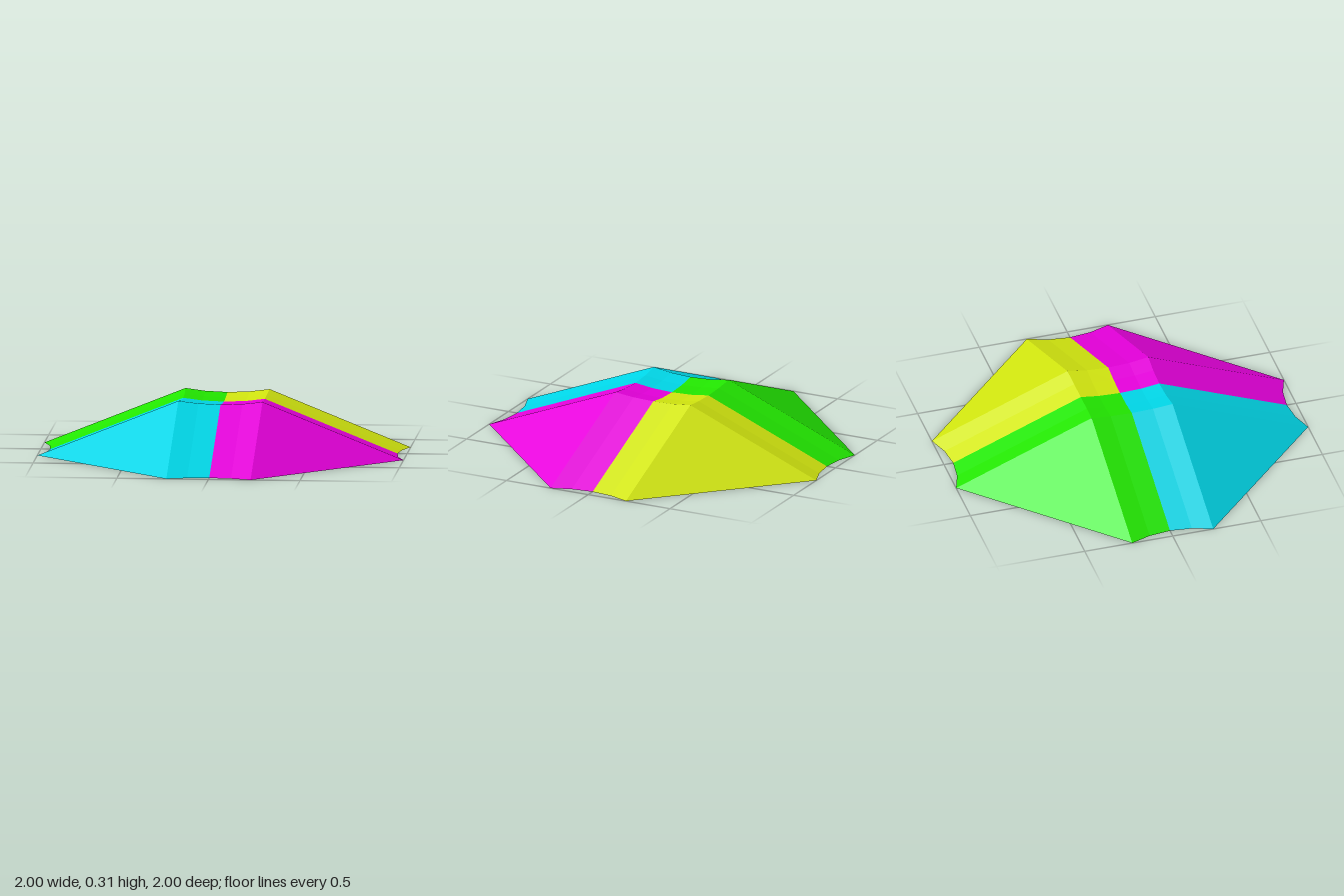
import * as THREE from 'three';

const EDGE = 0.23;                          // half width of the grooves
const TOP = 0.31;                           // height of the four peaks
const SLOPE = TOP / (1 - EDGE);
const STEPS = [0, 0.12, EDGE];              // stations across half a groove
const DEPTH = [0.018, 0.0132, 0];           // groove depth at each station

const material = (name, color) => {
  const m = new THREE.MeshStandardMaterial({ color });
  m.name = name;
  return m;
};

// Grid point of one quadrant: 0-2 cross the central dish, 3 is the rim on the ground
function gridPoint(i, j) {
  if (i === 3) {
    const p = gridPoint(j, i);
    return [p[2], p[1], p[0]];
  }
  if (j === 3) return [STEPS[i], 0, 1 - DEPTH[i] * (SLOPE + 1 / SLOPE)];
  const x = STEPS[i] - (i === 2 ? SLOPE * DEPTH[j] : 0);
  const z = STEPS[j] - (j === 2 ? SLOPE * DEPTH[i] : 0);
  return [x, TOP - DEPTH[i] - DEPTH[j], z];
}

// One quarter of the roof: dish, two half grooves and a big sloping triangle
function quadrant(sx, sz) {
  const positions = [];
  const triangle = (...corners) => {
    if (sx * sz < 0) corners.reverse();     // keep faces outward when mirrored
    for (const [x, y, z] of corners) positions.push(x * sx, y, z * sz);
  };
  for (let i = 0; i < 3; i++) {
    for (let j = 0; j < 3; j++) {
      const a = gridPoint(i, j);
      const b = gridPoint(i, j + 1);
      const d = gridPoint(i + 1, j);
      if (i === 2 && j === 2) {
        triangle(a, b, d);
      } else {
        const c = gridPoint(i + 1, j + 1);
        triangle(a, b, c);
        triangle(a, c, d);
      }
    }
  }
  const geometry = new THREE.BufferGeometry();
  geometry.setAttribute('position', new THREE.Float32BufferAttribute(positions, 3));
  geometry.computeVertexNormals();
  return geometry;
}

// Flat underside following the scalloped rim
function underside() {
  const rim = [[0, 3], [1, 3], [2, 3], [3, 2], [3, 1]].map(([i, j]) => gridPoint(i, j));
  const outline = [];
  for (let q = 0; q < 4; q++) {
    for (const [x, , z] of rim) {
      outline.push(new THREE.Vector2(x, z).rotateAround(new THREE.Vector2(), -q * Math.PI / 2));
    }
  }
  return new THREE.ShapeGeometry(new THREE.Shape(outline)).rotateX(Math.PI / 2);
}

export function createModel() {
  const model = new THREE.Group();
  model.name = 'groovedPyramid';
  const add = (name, geometry, mat) => {
    const mesh = new THREE.Mesh(geometry, mat);
    mesh.name = name;
    model.add(mesh);
  };
  add('frontLeftQuarter', quadrant(1, 1), material('magenta', 0xe600dc));
  add('frontRightQuarter', quadrant(-1, 1), material('cyan', 0x00d5e6));
  add('backLeftQuarter', quadrant(1, -1), material('yellow', 0xd2e60f));
  add('backRightQuarter', quadrant(-1, -1), material('green', 0x22e600));
  add('underside', underside(), material('orange', 0xde8000));
  return model;
}
